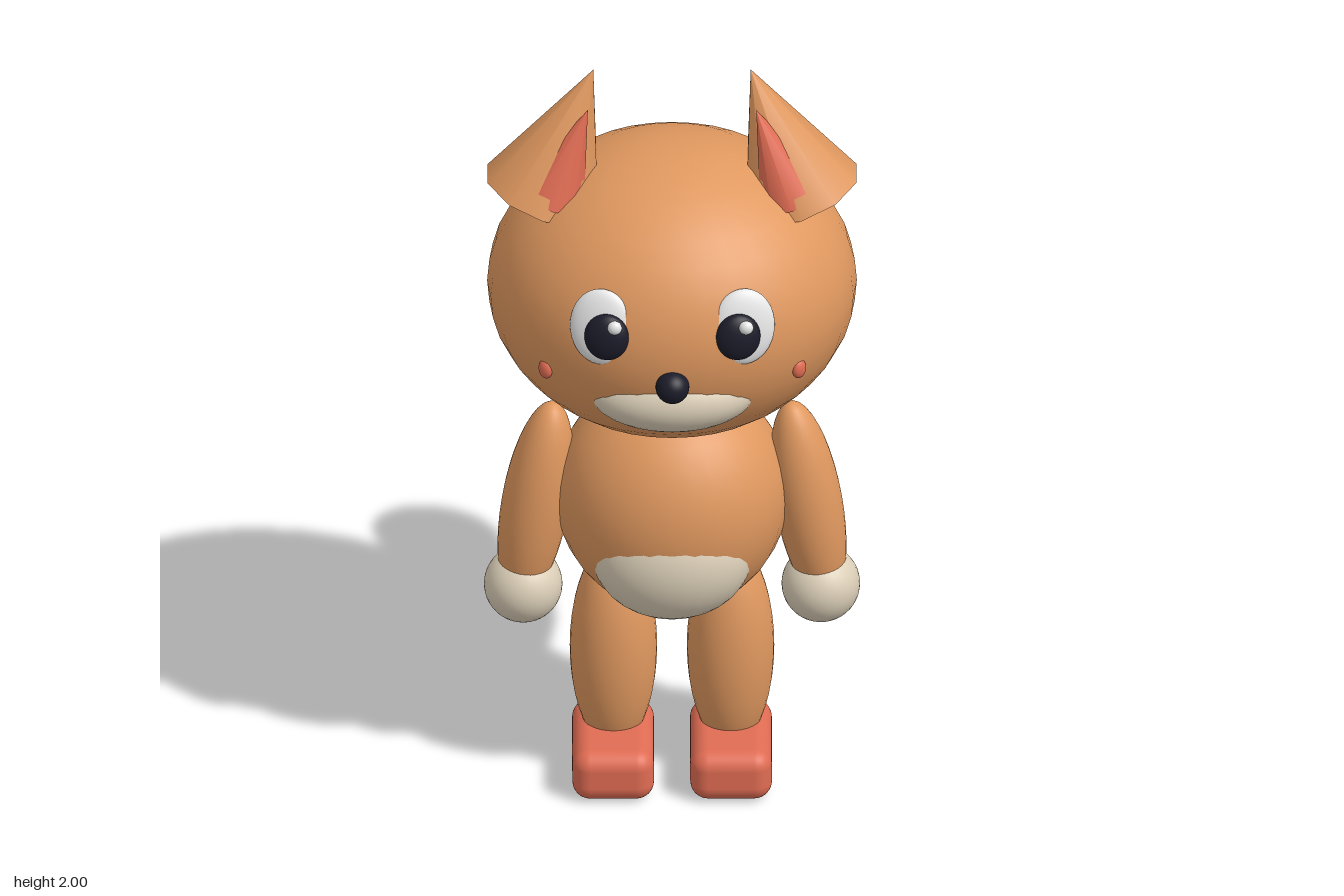
import * as THREE from 'three';
import { RoundedBoxGeometry } from 'three/addons/geometries/RoundedBoxGeometry.js';

const paint = (name, color) => {
  const m = new THREE.MeshStandardMaterial({ color });
  m.name = name;
  return m;
};

export function createModel() {
  const model = new THREE.Group();
  model.name = 'foxFigure';

  const fur = paint('orangeFur', 0xe0985f);
  const cream = paint('cream', 0xdccfb8);
  const coral = paint('coral', 0xe06c53);
  const dark = paint('darkNavy', 0x1c1c2a);
  const white = paint('white', 0xf2f2f2);

  const add = (name, geometry, material, position, rotation = [0, 0, 0]) => {
    const mesh = new THREE.Mesh(geometry, material);
    mesh.name = name;
    mesh.position.set(...position);
    mesh.rotation.set(...rotation);
    model.add(mesh);
    return mesh;
  };
  const ball = (name, material, position, radii, rotation) => {
    const geometry = new THREE.SphereGeometry(1, 32, 20).scale(...radii);
    return add(name, geometry, material, position, rotation);
  };

  // Head and torso
  ball('head', fur, [0, 1.39, 0.18], [0.461, 0.383, 0.427]);
  ball('torso', fur, [0, 0.785, 0.18], [0.292, 0.313, 0.27]);
  ball('bellyPatch', cream, [0, 0.68, 0.315], [0.2, 0.17, 0.145]);

  // Face
  ball('muzzle', cream, [0, 1.25, 0.48], [0.21, 0.1, 0.13]);
  ball('nose', dark, [0, 1.327, 0.605], [0.042, 0.042, 0.042]);

  // Tail with round tip
  ball('tail', fur, [0, 0.723, -0.23], [0.163, 0.163, 0.345]);
  ball('tailTip', cream, [0, 0.867, -0.513], [0.135, 0.135, 0.135]);

  for (const s of [-1, 1]) {
    const side = s > 0 ? 'left' : 'right';

    // Eyes
    ball(side + 'EyeWhite', white, [s * 0.177, 1.47, 0.55], [0.08, 0.1, 0.028], [-0.17, s * 0.2, 0]);
    ball(side + 'Pupil', dark, [s * 0.164, 1.456, 0.577], [0.056, 0.062, 0.03], [-0.1, s * 0.15, 0]);
    ball(side + 'EyeGlint', white, [s * 0.164 + 0.02, 1.493, 0.597], [0.018, 0.018, 0.015]);
    ball(side + 'Cheek', coral, [s * 0.316, 1.305, 0.474], [0.02, 0.026, 0.014], [0, s * 0.75, 0]);

    // Ears lean inward; the coral inner cone breaks through the front
    const lean = s * 0.346;
    const cone = (name, material, radius, height, base) => {
      const geometry = new THREE.ConeGeometry(radius, height, 10).translate(0, height / 2, 0);
      add(name, geometry, material, base, [0, 0, lean]);
    };
    cone(side + 'Ear', fur, 0.154, 0.371, [s * 0.322, 1.646, 0.178]);
    cone(side + 'InnerEar', coral, 0.087, 0.26, [s * 0.298, 1.668, 0.236]);

    // Arms and hands
    ball(side + 'Arm', fur, [s * 0.34, 0.752, 0.18], [0.085, 0.29, 0.09], [0, 0, s * 0.155]);
    ball(side + 'Hand', cream, [s * 0.371, 0.517, 0.18], [0.098, 0.098, 0.098]);

    // Legs and feet
    ball(side + 'Leg', fur, [s * 0.146, 0.34, 0.18], [0.109, 0.29, 0.109]);
    add(side + 'Foot', new RoundedBoxGeometry(0.204, 0.136, 0.328, 4, 0.045), coral, [s * 0.147, 0.068, 0.228]);
  }

  return model;
}
